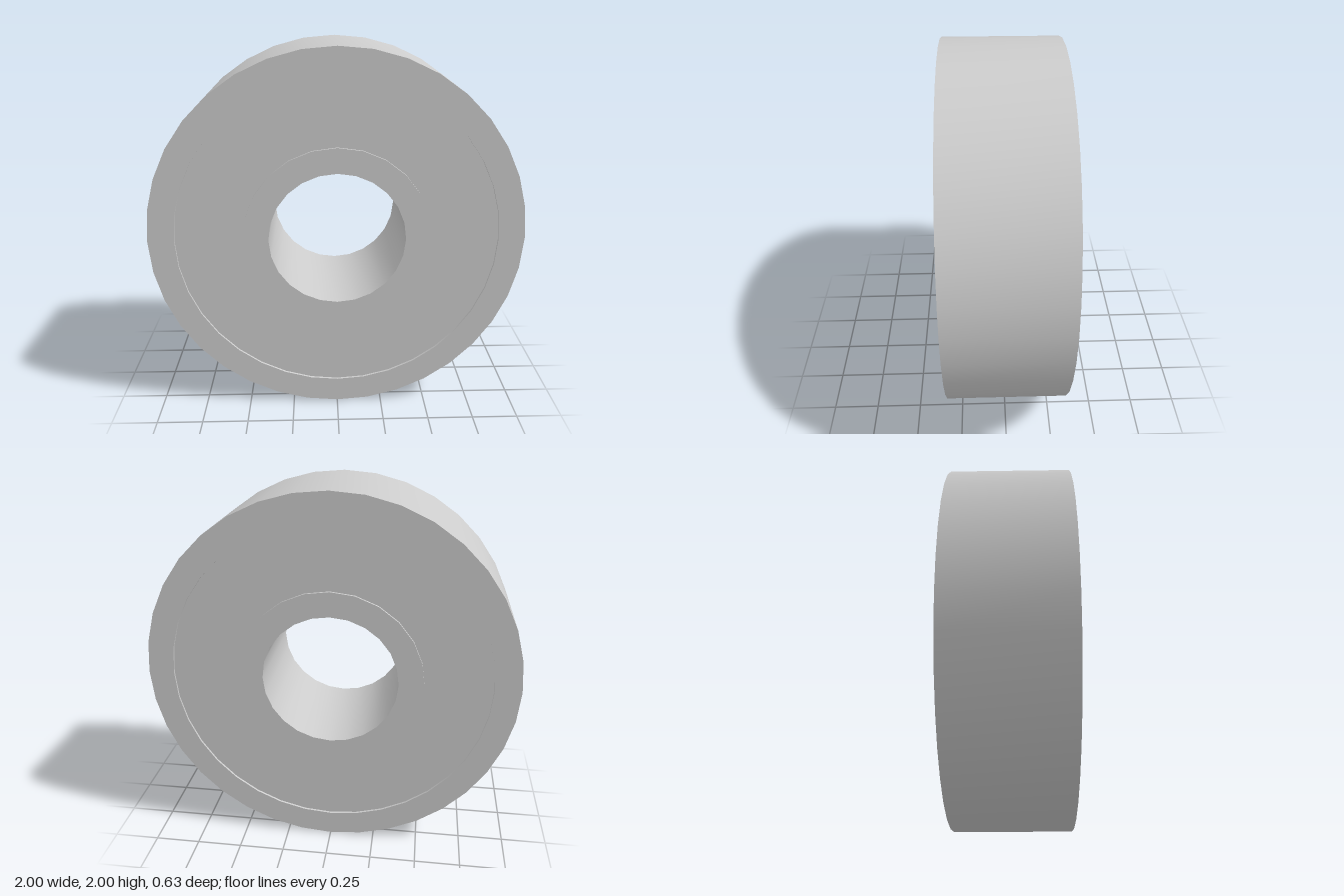
import * as THREE from 'three';
import { toCreasedNormals } from 'three/addons/utils/BufferGeometryUtils.js';

const HALF_WIDTH = 0.315;
const RECESS = 0.012;
const OUTER_SIDES = 36;
const INNER_SIDES = 24;

const material = new THREE.MeshStandardMaterial({ color: 0xcccccc });

// Ring of rectangular section around the z axis
function ring(name, inner, outer, sides) {
  const profile = [
    [outer, -HALF_WIDTH], [outer, HALF_WIDTH],
    [inner, HALF_WIDTH], [inner, -HALF_WIDTH], [outer, -HALF_WIDTH],
  ].map(([r, y]) => new THREE.Vector2(r, y));
  const geometry = new THREE.LatheGeometry(profile, sides).rotateX(Math.PI / 2);
  const mesh = new THREE.Mesh(toCreasedNormals(geometry, Math.PI / 6), material);
  mesh.name = name;
  return mesh;
}

function polygon(radius, sides) {
  return Array.from({ length: sides }, (_, i) => {
    const a = (i / sides) * Math.PI * 2;
    return new THREE.Vector2(Math.cos(a) * radius, Math.sin(a) * radius);
  });
}

// Filling between the two races, slightly recessed on both faces
function shield(inner, outer) {
  const shape = new THREE.Shape(polygon(outer, OUTER_SIDES));
  shape.holes.push(new THREE.Path(polygon(inner, INNER_SIDES)));
  const depth = 2 * (HALF_WIDTH - RECESS);
  const geometry = new THREE.ExtrudeGeometry(shape, { depth, bevelEnabled: false });
  geometry.translate(0, 0, -depth / 2);
  const mesh = new THREE.Mesh(geometry, material);
  mesh.name = 'shield';
  return mesh;
}

export function createModel() {
  const bearing = new THREE.Group();
  bearing.name = 'ballBearing';
  bearing.add(
    ring('outerRace', 0.86, 1, OUTER_SIDES),
    ring('innerRace', 0.365, 0.5, INNER_SIDES),
    shield(0.5, 0.86),
  );
  bearing.position.y = 1;

  const model = new THREE.Group();
  model.add(bearing);
  return model;
}
